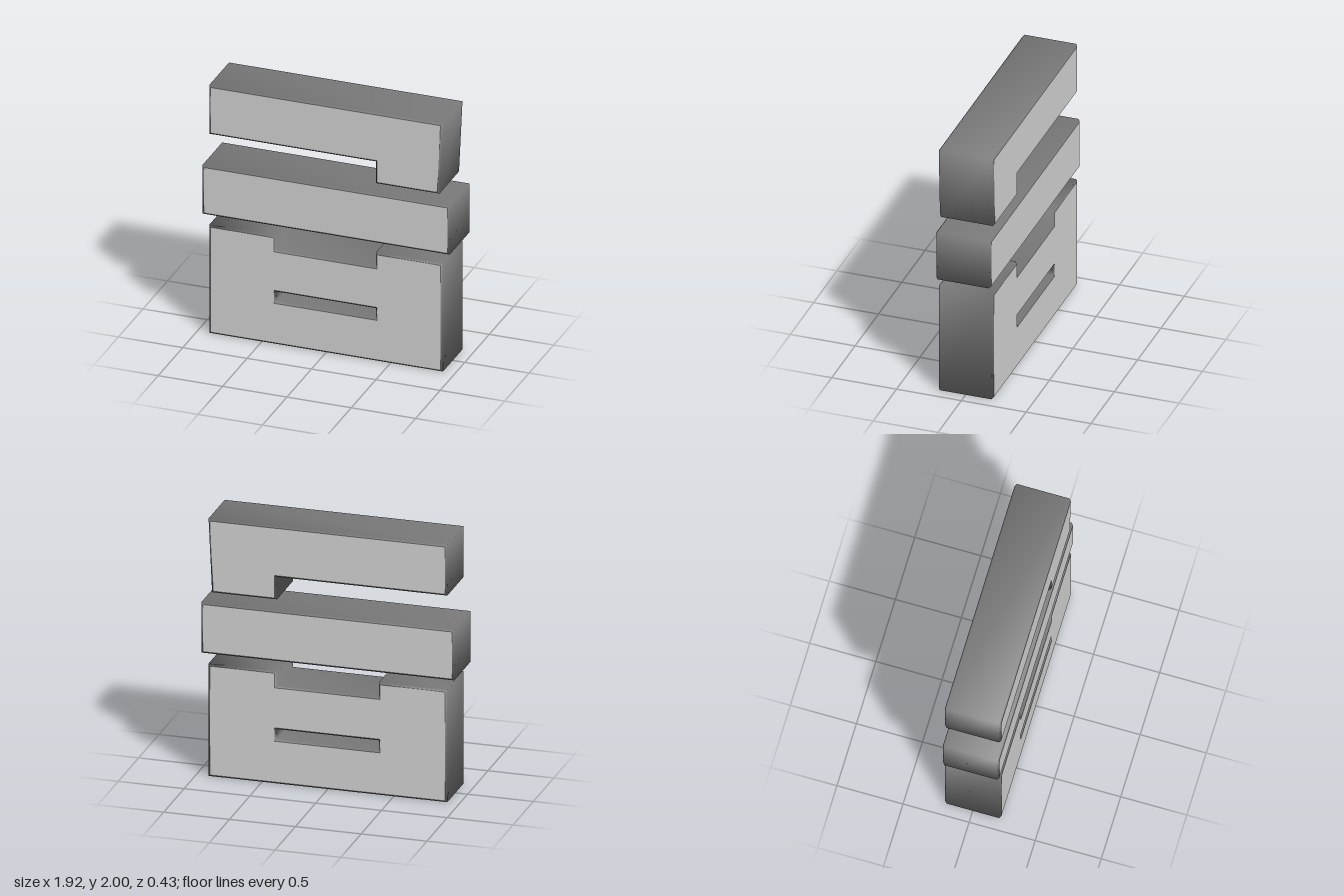
import * as THREE from 'three';
import { mergeVertices } from 'three/addons/utils/BufferGeometryUtils.js';

const DEPTH = 0.425;
const BEVEL = 0.014;

const toPoints = (pairs) => pairs.map(([x, y]) => new THREE.Vector2(x, y));

// Extrude with a small chamfer; the outline given is the full outer size.
function extrudeBlock(outline, hole) {
  const shape = new THREE.Shape(toPoints(outline));
  if (hole) shape.holes.push(new THREE.Path(toPoints(hole)));
  const geometry = new THREE.ExtrudeGeometry(shape, {
    depth: DEPTH - 2 * BEVEL,
    bevelEnabled: true,
    bevelSegments: 1,
    bevelSize: BEVEL,
    bevelOffset: -BEVEL,
    bevelThickness: BEVEL,
  });
  return geometry.translate(0, 0, BEVEL - DEPTH / 2);
}

// Pull out one group of the extrusion and share its vertices for smooth normals.
function takeGroup(geometry, index) {
  const { start, count } = geometry.groups[index];
  const positions = geometry.attributes.position.array.slice(start * 3, (start + count) * 3);
  const part = new THREE.BufferGeometry();
  part.setAttribute('position', new THREE.BufferAttribute(positions, 3));
  const merged = mergeVertices(part);
  merged.computeVertexNormals();
  return merged;
}

export function createModel() {
  const faceGrey = new THREE.MeshStandardMaterial({ color: 0xd2d2d2 });
  faceGrey.name = 'lightGrey';
  const sideGrey = new THREE.MeshStandardMaterial({ color: 0x777777 });
  sideGrey.name = 'darkGrey';

  const model = new THREE.Group();
  model.name = 'stackedBlocks';

  function addBlock(name, outline, hole) {
    const geometry = extrudeBlock(outline, hole);
    const block = new THREE.Group();
    block.name = name;
    const faces = new THREE.Mesh(takeGroup(geometry, 0), faceGrey);
    faces.name = name + 'Faces';
    const sides = new THREE.Mesh(takeGroup(geometry, 1), sideGrey);
    sides.name = name + 'Sides';
    block.add(faces, sides);
    model.add(block);
  }

  // Bottom block with a notch in its top edge and a slot through it
  addBlock(
    'bottomBlock',
    [[-0.907, 0], [0.907, 0], [0.907, 0.873], [0.387, 0.873],
      [0.387, 0.76], [-0.387, 0.76], [-0.387, 0.873], [-0.907, 0.873]],
    [[-0.387, 0.345], [-0.387, 0.422], [0.387, 0.422], [0.387, 0.345]],
  );

  // Wider plain bar in the middle
  addBlock('middleBar', [[-0.96, 0.952], [0.96, 0.952], [0.96, 1.346], [-0.96, 1.346]]);

  // Top bar with a leg hanging down and a slanted end
  addBlock('topBar', [[-0.907, 1.605], [0.387, 1.605], [0.387, 1.43],
    [0.88, 1.43], [0.907, 2], [-0.907, 2]]);

  return model;
}
